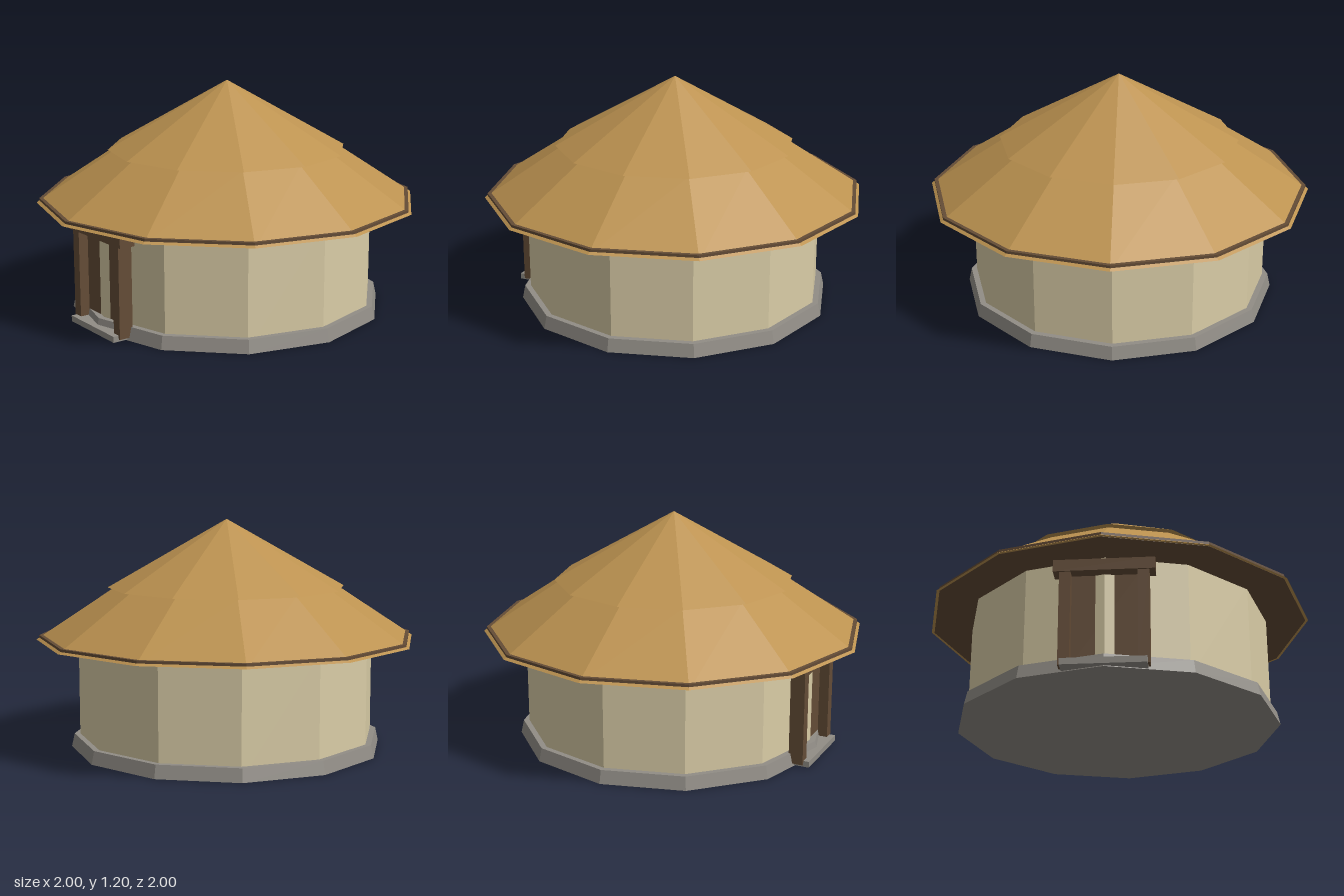
import * as THREE from 'three';

const SIDES = 12;

export function createModel() {
  const model = new THREE.Group();
  model.name = 'roundHut';

  const material = (name, color) => {
    const m = new THREE.MeshStandardMaterial({ color, flatShading: true });
    m.name = name;
    return m;
  };
  const stone = material('grey stone', 0x918d86);
  const plaster = material('cream plaster', 0xd9cca6);
  const thatch = material('golden thatch', 0xbc9250);
  const wood = material('dark wood', 0x644c36);

  const add = (name, geometry, mat) => {
    const mesh = new THREE.Mesh(geometry, mat);
    mesh.name = name;
    model.add(mesh);
    return mesh;
  };
  // Twelve-sided drum or cone between two heights
  const drum = (name, rTop, rBottom, y0, y1, mat) =>
    add(name, new THREE.CylinderGeometry(rTop, rBottom, y1 - y0, SIDES).translate(0, (y0 + y1) / 2, 0), mat);
  // Box given by its extents
  const box = (name, x0, x1, y0, y1, z0, z1, mat) =>
    add(name, new THREE.BoxGeometry(x1 - x0, y1 - y0, z1 - z0)
      .translate((x0 + x1) / 2, (y0 + y1) / 2, (z0 + z1) / 2), mat);

  // Base and wall
  drum('plinth', 0.81, 0.825, 0, 0.068, stone);
  drum('wall', 0.78, 0.78, 0.005, 0.59, plaster);

  // Two-tier thatched roof with a wooden eave ring breaking through its edge
  drum('lowerRoof', 0.59, 1, 0.575, 0.845, thatch);
  drum('upperRoof', 0, 0.625, 0.845, 1.2, thatch);
  drum('eaveRing', 0.985, 0.985, 0.574, 0.598, wood);

  // Doorway; the wall's front corner shows through the flat door
  box('door', -0.16, 0.16, 0.03, 0.49, 0.72, 0.768, wood);
  for (const side of [-1, 1]) {
    const cx = side * 0.184;
    box(side < 0 ? 'rightDoorPost' : 'leftDoorPost', cx - 0.027, cx + 0.027, 0.015, 0.486, 0.745, 0.82, wood);
  }
  box('lintel', -0.24, 0.24, 0.486, 0.545, 0.745, 0.828, wood);
  box('doorStep', -0.2, 0.2, 0.004, 0.035, 0.72, 0.85, stone);

  return model;
}
